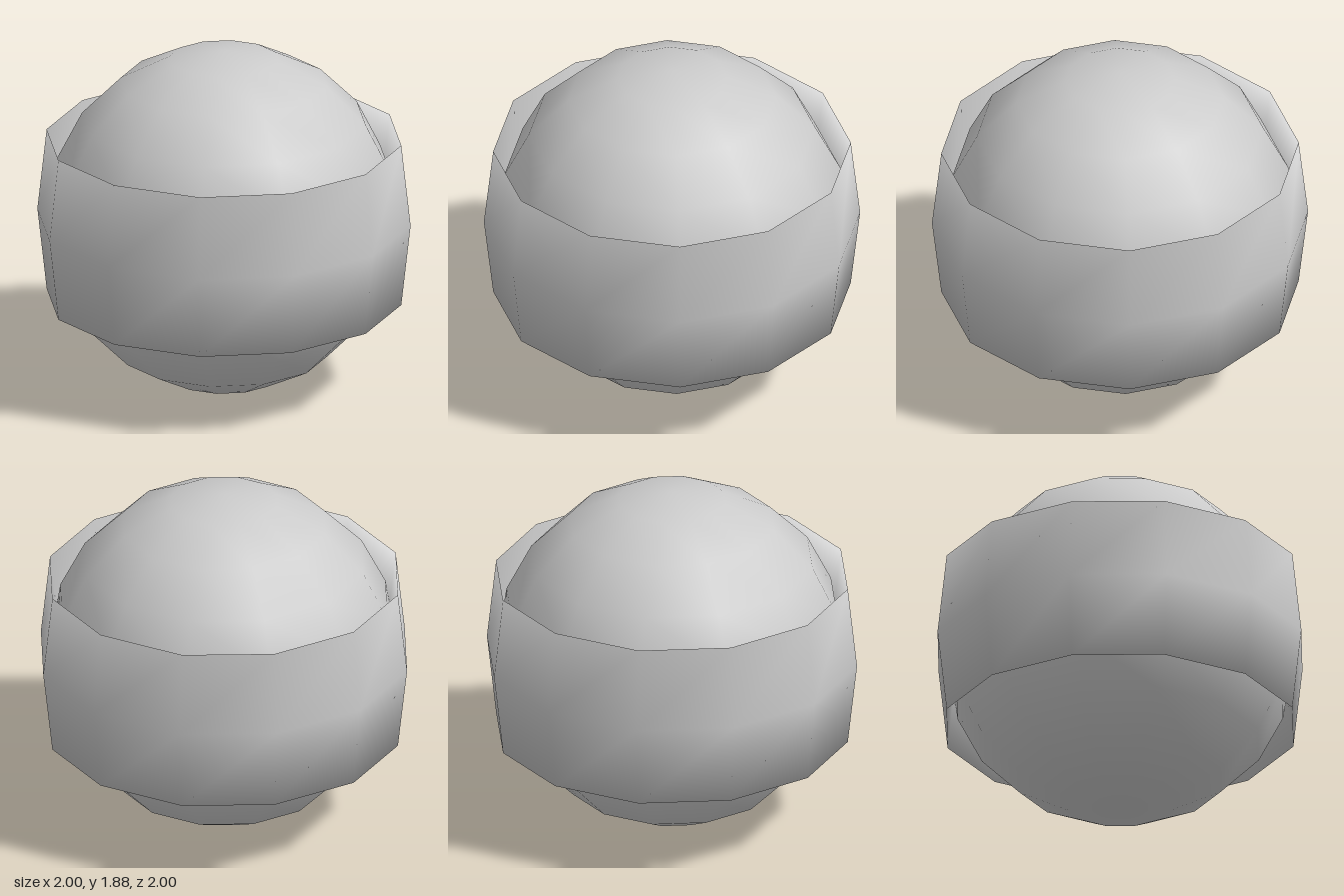
import * as THREE from 'three';
import { mergeVertices } from 'three/addons/utils/BufferGeometryUtils.js';

export function createModel() {
  const group = new THREE.Group();
  const material = new THREE.MeshStandardMaterial({ color: 0xcccccc });
  const centreY = 0.94;

  // Faceted ball with smooth shading
  const ball = new THREE.Mesh(new THREE.SphereGeometry(0.94, 12, 10), material);
  ball.name = 'ball';
  ball.position.y = centreY;
  group.add(ball);

  // Band: twelve-sided ring with a tall, thin diamond cross-section
  let ring = new THREE.TorusGeometry(0.95, 0.05, 4, 12);
  ring.scale(1, 1, 9);
  ring.rotateX(-Math.PI / 2);
  ring.deleteAttribute('normal');
  ring.deleteAttribute('uv');
  ring = mergeVertices(ring, 1e-4);
  ring.computeVertexNormals();
  const band = new THREE.Mesh(ring, material);
  band.name = 'band';
  band.position.y = centreY;
  group.add(band);

  return group;
}
